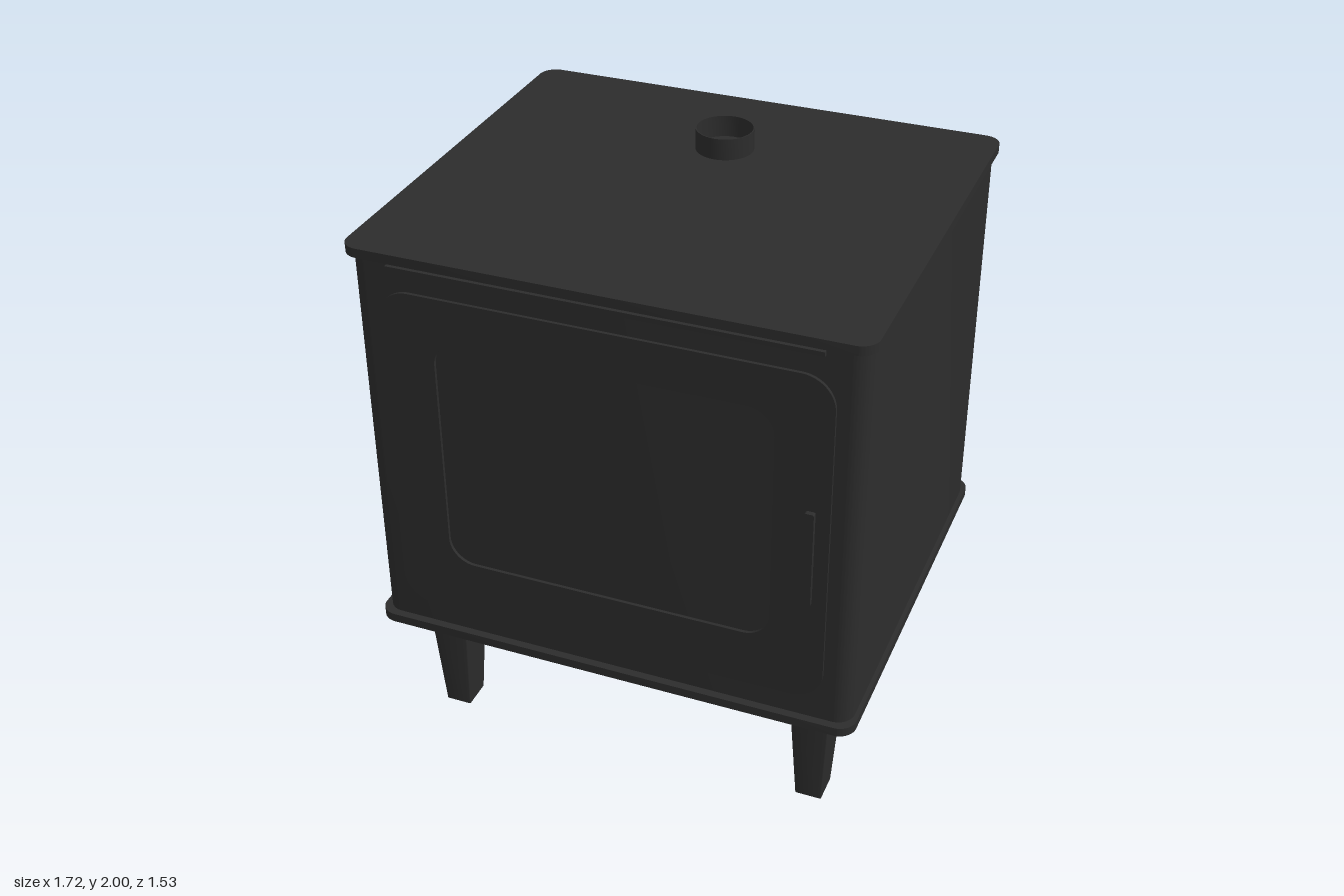
import * as THREE from 'three';
import { toCreasedNormals } from 'three/addons/utils/BufferGeometryUtils.js';

const castIron = new THREE.MeshStandardMaterial({ color: 0x2c2c2c, side: THREE.DoubleSide });
castIron.name = 'cast iron';

// Rounded rectangle outline centred on (cx, cy)
function roundedRect(w, h, r, cx = 0, cy = 0, Type = THREE.Shape) {
  const s = new Type();
  const x = w / 2 - r, y = h / 2 - r;
  s.absarc(cx + x, cy + y, r, 0, Math.PI / 2);
  s.absarc(cx - x, cy + y, r, Math.PI / 2, Math.PI);
  s.absarc(cx - x, cy - y, r, Math.PI, Math.PI * 1.5);
  s.absarc(cx + x, cy - y, r, Math.PI * 1.5, Math.PI * 2);
  s.closePath();
  return s;
}

const extrude = (shape, depth) => toCreasedNormals(
  new THREE.ExtrudeGeometry(shape, { depth, bevelEnabled: false, curveSegments: 10 }), 0.6);

export function createModel() {
  const stove = new THREE.Group();
  stove.name = 'stove';
  const add = (name, geometry, x = 0, y = 0, z = 0) => {
    const mesh = new THREE.Mesh(geometry, castIron);
    mesh.name = name;
    mesh.position.set(x, y, z);
    stove.add(mesh);
    return mesh;
  };

  // Horizontal slabs: base plate, firebox and top plate
  const slab = (name, w, d, r, y0, y1) =>
    add(name, extrude(roundedRect(w, d, r), y1 - y0).rotateX(-Math.PI / 2), 0, y0, 0);
  slab('basePlate', 1.72, 1.525, 0.06, 0.465, 0.497);
  slab('firebox', 1.69, 1.47, 0.06, 0.497, 1.893);
  slab('topPlate', 1.72, 1.525, 0.06, 1.893, 1.925);

  // Door frame around the recessed window
  const frame = roundedRect(1.5, 1.21, 0.11, 0, 1.185);
  frame.holes.push(roundedRect(1.13, 0.855, 0.09, 0, 1.2125, THREE.Path));
  add('doorFrame', extrude(frame, 0.012), 0, 0, 0.734);

  // Upright handle and air control strip
  add('doorHandle', extrude(roundedRect(0.032, 0.35, 0.006), 0.025), 0.687, 1.138, 0.738);
  add('airStrip', new THREE.BoxGeometry(1.42, 0.016, 0.02), 0, 1.867, 0.738);

  // Open flue collar with a thin wall
  const profile = [[0.096, 1.925], [0.1, 1.925], [0.1, 2], [0.096, 2], [0.096, 1.925]]
    .map(([x, y]) => new THREE.Vector2(x, y));
  add('flueCollar', toCreasedNormals(new THREE.LatheGeometry(profile, 40), 0.6), 0, 0, -0.34);

  // Tapered legs
  const legHeight = 0.465;
  const leg = extrude(roundedRect(0.146, 0.174, 0.008), legHeight).rotateX(-Math.PI / 2);
  const p = leg.attributes.position;
  for (let i = 0; i < p.count; i++) {
    const t = p.getY(i) / legHeight;
    p.setX(i, p.getX(i) * THREE.MathUtils.lerp(0.64, 1, t));
    p.setZ(i, p.getZ(i) * THREE.MathUtils.lerp(0.64, 1, t));
  }
  const legGeometry = toCreasedNormals(leg, 0.6);
  for (const [side, x] of [['Left', 0.674], ['Right', -0.674]])
    for (const [end, z] of [['front', 0.534], ['back', -0.534]])
      add(`${end}${side}Leg`, legGeometry, x, 0, z);

  return stove;
}
